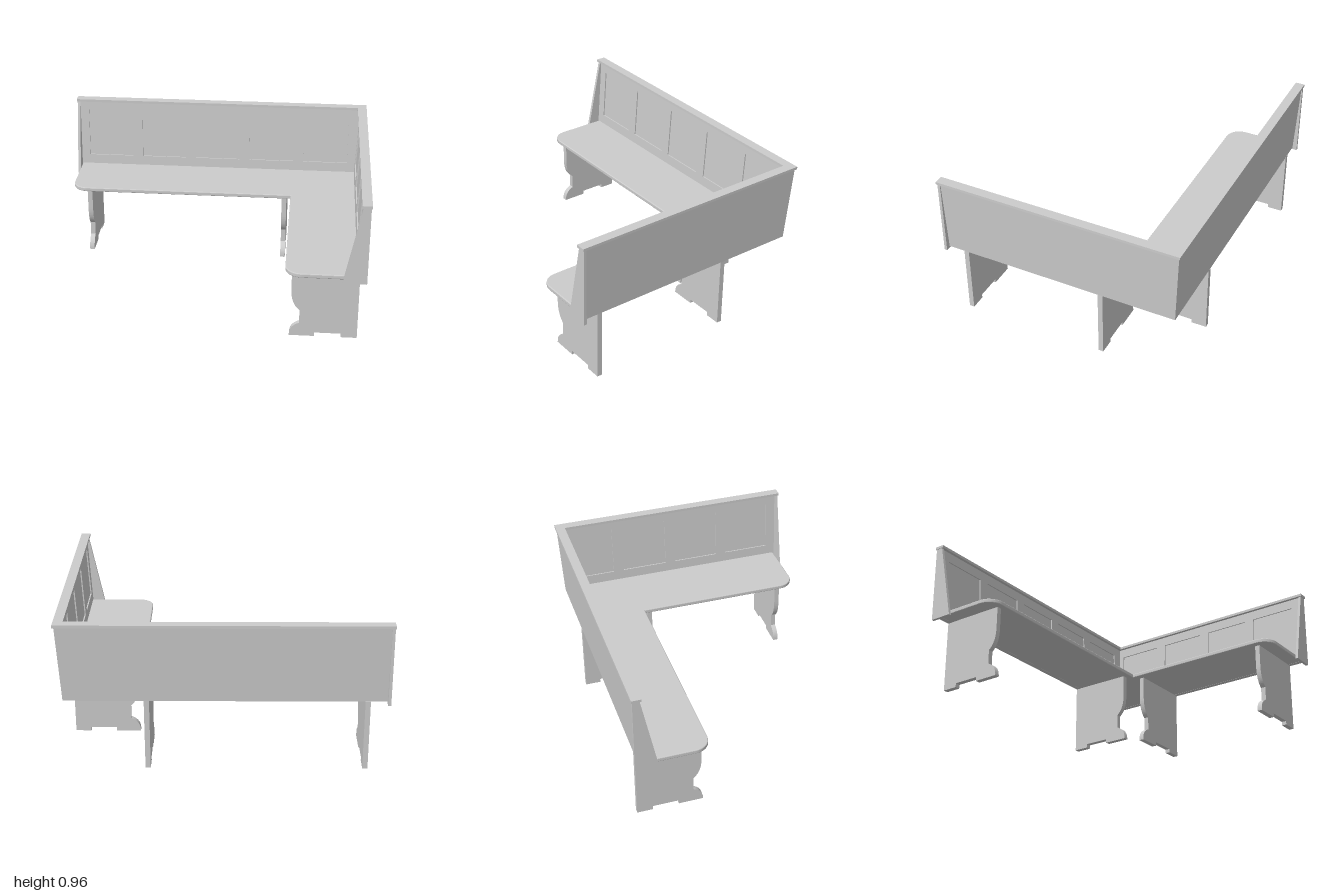
import * as THREE from 'three';

const material = new THREE.MeshStandardMaterial({ color: 0xcccccc });

function polygon(points) {
  return new THREE.Shape(points.map(([x, y]) => new THREE.Vector2(x, y)));
}

function extrude(shape, depth, options = {}) {
  return new THREE.ExtrudeGeometry(shape, { depth, bevelEnabled: false, curveSegments: 12, ...options });
}

function part(name, geometry) {
  const mesh = new THREE.Mesh(geometry, material);
  mesh.name = name;
  return mesh;
}

// Backrest in its own frame: x along the wall, z into the room, z = 0 the outer edge.
const BASE = 0.457, TOP = 0.945, LEAN = 0.025;

function createBackrest({ name, outline, capFrom, capTo, endAt, panels }) {
  const group = new THREE.Group();
  group.name = name;

  // The boards lean outwards towards the top
  const lean = new THREE.Matrix4().set(
    1, 0, 0, 0,
    0, 1, 0, 0,
    0, -LEAN / (TOP - BASE), 1, LEAN * BASE / (TOP - BASE),
    0, 0, 0, 1);

  const backBoard = extrude(polygon(outline), 0.022).translate(0, 0, 0.035).applyMatrix4(lean);

  // Frame with openings that leave recessed square panels
  const frameShape = polygon(outline);
  for (const start of panels) {
    const end = start + 0.305;
    frameShape.holes.push(new THREE.Path(
      [[start, 0.55], [start, 0.88], [end, 0.88], [end, 0.55]].map(([x, y]) => new THREE.Vector2(x, y))));
  }
  const frame = extrude(frameShape, 0.008).translate(0, 0, 0.057).applyMatrix4(lean);

  // Tapered board closing the free end
  const endShape = polygon([[0.005, 0.445], [0.15, 0.445], [0.05, TOP], [0.005, TOP]]);
  const endBoard = extrude(endShape, 0.018).rotateY(-Math.PI / 2).translate(endAt, 0, 0);

  const cap = new THREE.BoxGeometry(capTo - capFrom, 0.017, 0.06)
    .translate((capFrom + capTo) / 2, 0.9535, 0.03);

  group.add(part('backBoard', backBoard), part('panelFrame', frame),
    part('endBoard', endBoard), part('topRail', cap));
  return group;
}

// L-shaped seat with rounded free corners
function createSeat() {
  const r = 0.1, left = -0.975, inner = 0.507, right = 0.945;
  const back = -0.745, front = -0.315, end = 0.765;
  const s = new THREE.Shape();
  s.moveTo(left, back);
  s.lineTo(right, back);
  s.lineTo(right, end);
  s.lineTo(inner + r, end);
  s.absarc(inner + r, end - r, r, Math.PI / 2, Math.PI, false);
  s.lineTo(inner, front);
  s.lineTo(left + r, front);
  s.absarc(left + r, front - r, r, Math.PI / 2, Math.PI, false);
  s.closePath();
  const b = 0.006;
  const geometry = extrude(s, 0.027 - 2 * b, {
    bevelEnabled: true, bevelSize: b, bevelThickness: b, bevelOffset: -b, bevelSegments: 3,
  });
  return part('seat', geometry.rotateX(Math.PI / 2).translate(0, 0.485 - b, 0));
}

// Leg board: x runs from the back edge to the scrolled front edge
function createLegGeometry() {
  const s = new THREE.Shape();
  s.moveTo(0, 0);
  s.lineTo(0.098, 0);
  s.lineTo(0.098, 0.025);
  s.lineTo(0.263, 0.025);
  s.lineTo(0.263, 0);
  s.lineTo(0.418, 0);
  s.bezierCurveTo(0.418, 0.05, 0.395, 0.075, 0.357, 0.09);
  s.lineTo(0.357, 0.18);
  s.bezierCurveTo(0.39, 0.205, 0.41, 0.25, 0.41, 0.32);
  s.lineTo(0.41, 0.46);
  s.lineTo(0, 0.46);
  s.closePath();
  return extrude(s, 0.032);
}

export function createModel() {
  const model = new THREE.Group();
  model.name = 'cornerBench';

  const longBack = createBackrest({
    name: 'longBackrest',
    outline: [[-0.98, BASE], [0.965, BASE], [0.99, TOP], [-0.98, TOP]],
    capFrom: -1, capTo: 1, endAt: -0.978,
    panels: [0, 1, 2, 3, 4].map(i => -0.92 + i * 0.375),
  });
  longBack.position.z = -0.797;

  const shortBack = createBackrest({
    name: 'shortBackrest',
    outline: [[-0.757, BASE], [0.772, BASE], [0.772, TOP], [-0.782, TOP]],
    capFrom: -0.737, capTo: 0.797, endAt: 0.79,
    panels: [0, 1, 2, 3].map(i => -0.72 + i * 0.375),
  });
  shortBack.rotation.y = -Math.PI / 2;
  shortBack.position.x = 1;

  model.add(longBack, shortBack, createSeat());

  // Two legs under each run of the seat
  const legGeometry = createLegGeometry();
  const addLeg = (name, x, z, angle) => {
    const leg = part(name, legGeometry);
    leg.position.set(x, 0, z);
    leg.rotation.y = angle;
    model.add(leg);
  };
  for (const x of [-0.846, 0.48]) addLeg('longSeatLeg', x, -0.763, -Math.PI / 2);
  for (const z of [0.67, -0.255]) addLeg('shortSeatLeg', 0.958, z, Math.PI);

  return model;
}
